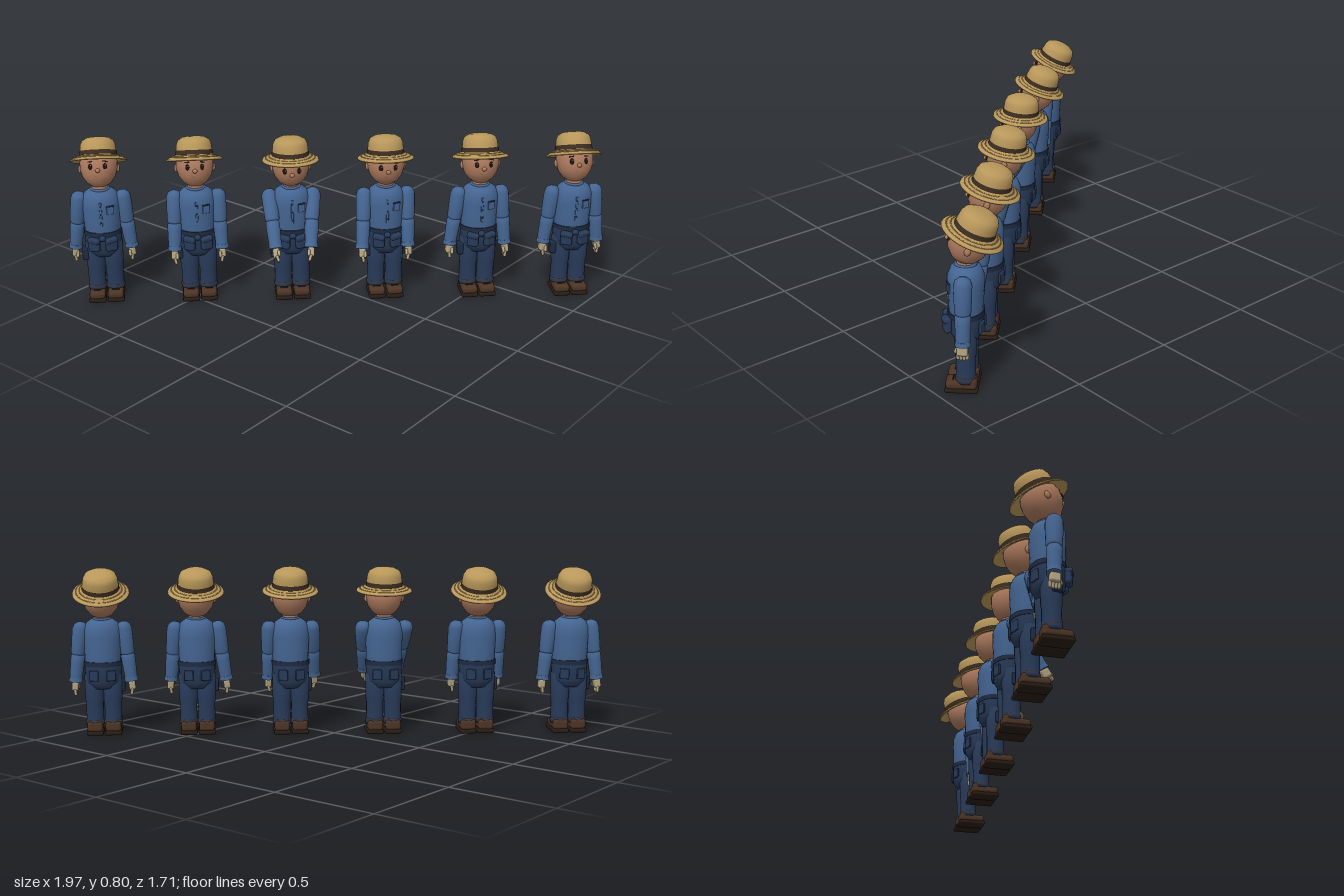
import * as THREE from 'three';
import { RoundedBoxGeometry } from 'three/addons/geometries/RoundedBoxGeometry.js';

const mat = (color, side = THREE.FrontSide) => new THREE.MeshStandardMaterial({ color, side });
const M = {
  straw: mat(0xb8975a, THREE.DoubleSide), band: mat(0x3b2c20), skin: mat(0xad7a5e),
  shirt: mat(0x456592), seam: mat(0x1e2b42), trousers: mat(0x283a58), boot: mat(0x4c3424),
  sole: mat(0x291d16), glove: mat(0xb0a17f), dark: mat(0x1c1412), lip: mat(0x7a4538),
};

function add(parent, name, geo, material, pos = [0, 0, 0], scale = [1, 1, 1], rot = [0, 0, 0]) {
  const m = new THREE.Mesh(geo, material);
  m.name = name;
  m.position.set(...pos);
  m.scale.set(...scale);
  m.rotation.set(...rot);
  parent.add(m);
  return m;
}
function group(parent, name, x = 0, y = 0, z = 0) {
  const g = new THREE.Group();
  g.name = name;
  g.position.set(x, y, z);
  parent.add(g);
  return g;
}
const lathe = (pts, seg = 24) => new THREE.LatheGeometry(pts.map(p => new THREE.Vector2(...p)), seg);
const rbox = (w, h, d, r = 0.008) => new RoundedBoxGeometry(w, h, d, 2, r);

// Shared shapes; lathe profiles run from bottom to top
const ball = new THREE.SphereGeometry(1, 20, 14);
const G = {
  torso: lathe([[0, 0.3], [0.076, 0.3], [0.084, 0.34], [0.086, 0.4], [0.09, 0.47], [0.088, 0.51],
    [0.074, 0.54], [0.05, 0.557], [0.037, 0.562]]),
  neck: new THREE.CylinderGeometry(0.035, 0.039, 0.06, 18),
  hips: lathe([[0, 0.22], [0.06, 0.225], [0.083, 0.26], [0.087, 0.32], [0.087, 0.355], [0.08, 0.36]]),
  leg: lathe([[0, 0.045], [0.042, 0.045], [0.045, 0.06], [0.041, 0.075], [0.041, 0.15], [0.044, 0.17], [0.046, 0.29], [0, 0.3]], 18),
  upperArm: lathe([[0, -0.13], [0.026, -0.128], [0.034, -0.115], [0.037, -0.05], [0.038, 0], [0.031, 0.02], [0.017, 0.031], [0, 0.035]], 18),
  foreArm: lathe([[0, -0.25], [0.027, -0.25], [0.03, -0.235], [0.033, -0.16], [0.033, -0.13], [0.022, -0.112], [0, -0.108]], 18),
  cuff: new THREE.CylinderGeometry(0.031, 0.033, 0.02, 18),
  palm: rbox(0.032, 0.045, 0.046, 0.01),
  finger: new THREE.CapsuleGeometry(0.0075, 0.018, 3, 8),
  head: lathe([[0, -0.088], [0.028, -0.084], [0.056, -0.066], [0.077, -0.036], [0.087, 0],
    [0.087, 0.035], [0.077, 0.065], [0.05, 0.09], [0, 0.1]], 28),
  hat: lathe([[0.08, -0.004], [0.108, -0.013], [0.13, -0.024], [0.133, -0.02], [0.131, -0.015], [0.108, -0.004], [0.085, 0.005],
    [0.084, 0.03], [0.081, 0.056], [0.072, 0.075], [0.05, 0.087], [0.025, 0.091], [0, 0.092]], 36),
  band: new THREE.CylinderGeometry(0.0855, 0.088, 0.021, 36, 1, true),
  belt: new THREE.CylinderGeometry(0.09, 0.09, 0.022, 28),
  pouch: rbox(0.055, 0.062, 0.03, 0.012),
  flap: rbox(0.058, 0.024, 0.034, 0.009),
  sole: rbox(0.08, 0.02, 0.138, 0.008),
};

function buildHat(head) {
  const hat = group(head, 'hat', 0, 0.117, 0);
  hat.rotation.x = -0.08;
  add(hat, 'strawHat', G.hat, M.straw);
  add(hat, 'hatBand', G.band, M.band, [0, 0.015, 0]);
  // woven rings on the brim
  for (const [r, y] of [[0.1, -0.001], [0.116, -0.008], [0.131, -0.02]])
    add(hat, 'brimRing', new THREE.TorusGeometry(r, 0.0025, 5, 36), M.straw, [0, y, 0], [1, 1, 1], [Math.PI / 2, 0, 0]);
}

function buildHead(body, pitch) {
  const head = group(body, 'head', 0, 0.59, 0);
  head.rotation.x = pitch;
  add(head, 'skull', G.head, M.skin, [0, 0.06, 0.005]);
  for (const s of [-1, 1]) {
    add(head, 'eye', ball, M.dark, [s * 0.034, 0.07, 0.085], [0.0095, 0.014, 0.006], [0, s * 0.4, 0]);
    add(head, 'eyeGlint', ball, mat(0xd8d0c4), [s * 0.034 + 0.003, 0.075, 0.0905], [0.0025, 0.003, 0.002]);
    add(head, 'eyebrow', rbox(0.024, 0.005, 0.006, 0.002), M.band, [s * 0.035, 0.093, 0.083], [1, 1, 1], [0, s * 0.4, -s * 0.12]);
    add(head, 'ear', ball, M.skin, [s * 0.087, 0.06, 0], [0.009, 0.018, 0.013]);
  }
  add(head, 'nose', ball, M.skin, [0, 0.051, 0.092], [0.011, 0.01, 0.01]);
  add(head, 'mouth', new THREE.TorusGeometry(0.02, 0.0025, 6, 12, Math.PI * 0.7), M.lip,
    [0, 0.04, 0.081], [1, 0.8, 1], [0.15, 0, Math.PI * 1.15]);
  buildHat(head);
}

// An arm hangs down -y from the shoulder and is aimed at its hand position
function buildArm(body, s, target) {
  const shoulder = new THREE.Vector3(s * 0.102, 0.51, 0);
  const arm = group(body, s > 0 ? 'leftArm' : 'rightArm', ...shoulder.toArray());
  const dir = new THREE.Vector3(...target).sub(shoulder).normalize();
  arm.quaternion.setFromUnitVectors(new THREE.Vector3(0, -1, 0), dir);
  add(arm, 'upperSleeve', G.upperArm, M.shirt);
  add(arm, 'lowerSleeve', G.foreArm, M.shirt);
  add(arm, 'cuff', G.cuff, M.shirt, [0, -0.245, 0]);
  add(arm, 'palm', G.palm, M.glove, [0, -0.276, 0.002]);
  for (let i = 0; i < 4; i++)
    add(arm, 'finger', G.finger, M.glove, [-s * 0.004, -0.307 + Math.abs(i - 1.5) * 0.002, -0.017 + i * 0.0125], [1, 1, 1], [0, 0, -s * 0.25]);
  add(arm, 'thumb', G.finger, M.glove, [-s * 0.012, -0.28, 0.027], [1, 1, 1], [-0.45, 0, 0]);
}

function buildLeg(body, s) {
  const leg = group(body, s > 0 ? 'leftLeg' : 'rightLeg', s * 0.043, 0, 0);
  add(leg, 'trouserLeg', G.leg, M.trousers);
  add(leg, 'sole', G.sole, M.sole, [0, 0.01, 0.018]);
  add(leg, 'bootToe', rbox(0.076, 0.038, 0.082, 0.016), M.boot, [0, 0.034, 0.043]);
  add(leg, 'bootHeel', rbox(0.074, 0.052, 0.078, 0.016), M.boot, [0, 0.041, -0.008]);
  add(leg, 'bootCollar', new THREE.TorusGeometry(0.036, 0.008, 8, 18), M.boot, [0, 0.066, 0], [1, 1, 1], [Math.PI / 2, 0, 0]);
  for (const z of [0.036, 0.052])
    add(leg, 'lace', rbox(0.036, 0.005, 0.006, 0.002), M.sole, [0, 0.055, z]);
}

function buildTorso(body) {
  const flat = [1, 1, 0.84];
  add(body, 'shirt', G.torso, M.shirt, [0, 0, 0], flat);
  add(body, 'neck', G.neck, M.skin, [0, 0.572, 0]);
  add(body, 'collar', new THREE.TorusGeometry(0.04, 0.007, 8, 24), M.shirt, [0, 0.557, 0], [1, 1, 1], [Math.PI / 2, 0, 0]);
  add(body, 'placket', rbox(0.012, 0.12, 0.006, 0.002), M.shirt, [0, 0.45, 0.074]);
  for (let i = 0; i < 3; i++)
    add(body, 'button', ball, M.seam, [0, 0.41 + i * 0.04, 0.077], [0.004, 0.004, 0.003]);
  add(body, 'chestPocket', rbox(0.036, 0.04, 0.008, 0.003), M.shirt, [0.044, 0.468, 0.066], [1, 1, 1], [0, 0.35, 0]);
  add(body, 'pocketTrim', rbox(0.036, 0.005, 0.01, 0.002), M.seam, [0.044, 0.488, 0.066], [1, 1, 1], [0, 0.35, 0]);

  // Trousers, belt and the pouches hung on it
  add(body, 'hips', G.hips, M.trousers, [0, 0, 0], flat);
  add(body, 'belt', G.belt, M.seam, [0, 0.345, 0], flat);
  for (const s of [-1, 1]) {
    add(body, 'beltPouch', G.pouch, M.trousers, [s * 0.04, 0.298, 0.075], [1, 1, 1], [0, s * 0.4, 0]);
    add(body, 'pouchFlap', G.flap, M.trousers, [s * 0.04, 0.322, 0.077], [1, 1, 1], [0, s * 0.4, s * 0.15]);
    add(body, 'backPocket', rbox(0.045, 0.05, 0.01, 0.004), M.trousers, [s * 0.04, 0.292, -0.067], [1, 1, 1], [0, -s * 0.35, 0]);
  }
  add(body, 'beltKnot', ball, M.trousers, [0, 0.333, 0.083], [0.016, 0.014, 0.014]);
  add(body, 'thighCase', rbox(0.03, 0.06, 0.042, 0.006), M.seam, [-0.087, 0.235, 0.012]);
}

// Per figure: head pitch, right-hand and left-hand positions
const POSES = [
  [-0.35, [-0.138, 0.215, -0.015], [0.135, 0.215, 0]],
  [-0.26, [-0.112, 0.22, 0.06], [0.115, 0.22, 0.05]],
  [-0.01, [-0.083, 0.26, 0.16], [0.078, 0.25, 0.145]],
  [-0.1, [-0.122, 0.23, 0.09], [0.105, 0.225, 0.058]],
  [-0.19, [-0.145, 0.215, 0.015], [0.128, 0.215, 0.035]],
  [-0.32, [-0.138, 0.215, 0], [0.135, 0.215, 0]],
];

export function createModel() {
  const root = new THREE.Group();
  root.name = 'rowOfFarmers';
  POSES.forEach(([pitch, right, left], i) => {
    const body = group(root, 'farmer' + (i + 1), -0.85 + i * 0.34, 0, 0.745 - i * 0.289);
    body.rotation.y = Math.PI / 4;
    buildTorso(body);
    buildHead(body, pitch);
    buildArm(body, -1, right);
    buildArm(body, 1, left);
    for (const s of [-1, 1]) buildLeg(body, s);
  });
  return root;
}
